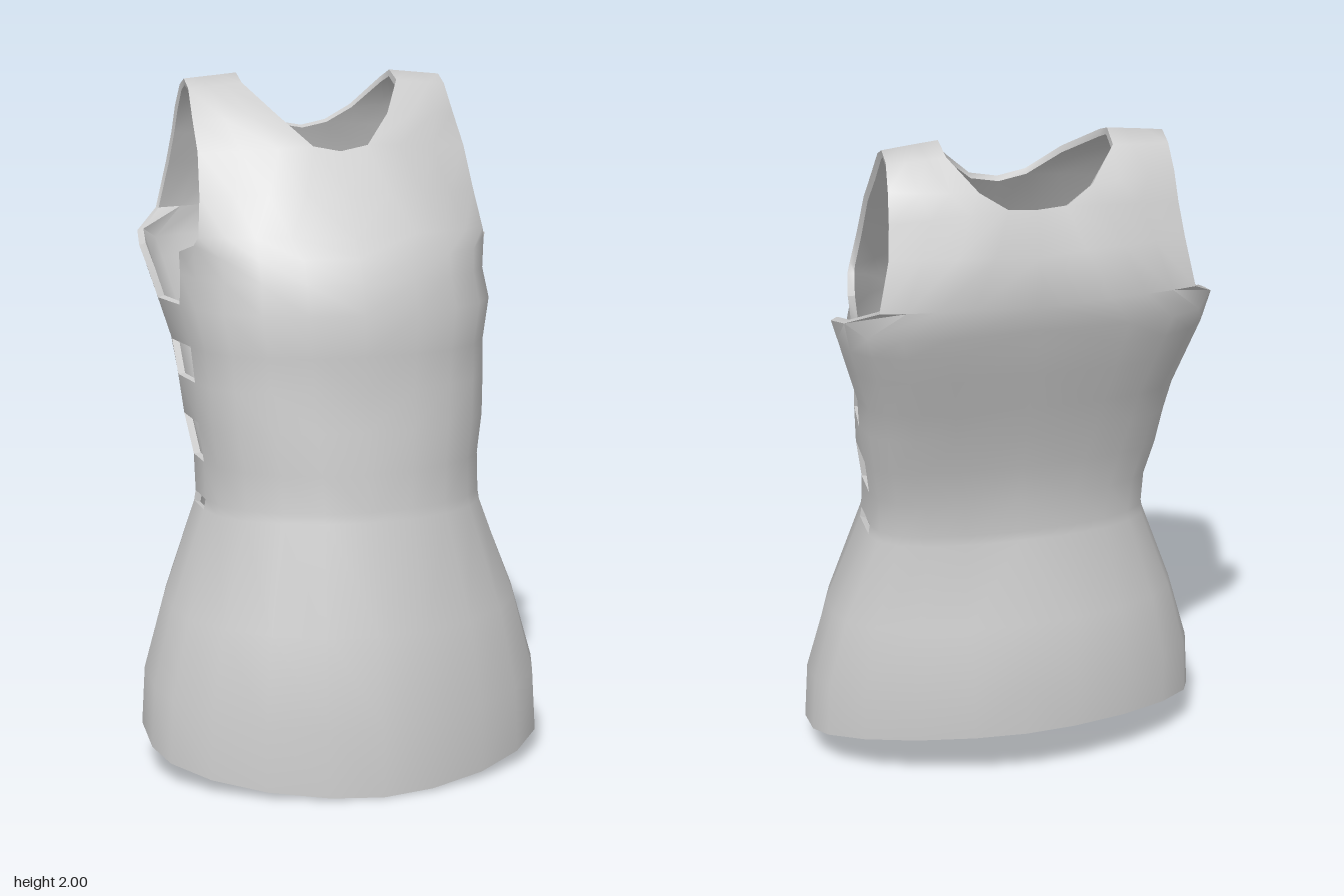
import * as THREE from 'three';
import { mergeVertices, toCreasedNormals } from 'three/addons/utils/BufferGeometryUtils.js';

const THICKNESS = 0.02;
const SIDE = 5;   // column of the front side edge; SIDE + 1 is the back side edge
const ARM = 4;    // columns between the centre line and the armhole edge
const LAST = 11;  // centre back column
const NECK = 14;  // row of the neckline

// Torso rows: y, then centre z, half width and side z for the front and for the back
const torso = [
  [0, 0.485, 0.59, 0.11, -0.325, 0.59, -0.03],
  [0.2, 0.477, 0.58, 0.1, -0.325, 0.58, -0.03],
  [0.45, 0.435, 0.52, 0.08, -0.29, 0.52, -0.03],
  [0.767, 0.347, 0.415, 0.05, -0.225, 0.415, -0.075],
  [0.797, 0.34, 0.41, 0.05, -0.225, 0.41, -0.075],
  [0.905, 0.33, 0.41, 0.035, -0.235, 0.412, -0.085],
  [1.02, 0.315, 0.425, 0.033, -0.265, 0.43, -0.125],
  [1.135, 0.3, 0.43, 0.02, -0.305, 0.445, -0.13],
  [1.235, 0.298, 0.435, -0.01, -0.345, 0.455, -0.165],
  [1.355, 0.295, 0.46, -0.035, -0.4, 0.49, -0.19],
  [1.44, 0.268, 0.45, -0.07, -0.435, 0.515, -0.21],
  [1.505, 0.238, 0.455, -0.06, -0.46, 0.535, -0.23],
];

// Chest and shoulder rows: inner point (centre or neck edge), then armhole point
const chestFront = [
  [0, 1.57, 0.2, 0.425, 1.56, 0.06],
  [0, 1.68, 0.13, 0.41, 1.67, 0.015],
  [0, 1.81, 0.04, 0.4, 1.79, -0.045],
  [0.165, 1.89, -0.04, 0.395, 1.88, -0.13],
  [0.235, 1.975, -0.18, 0.39, 1.96, -0.2],
  [0.235, 2.0, -0.25, 0.39, 1.985, -0.255],
];
const chestBack = [
  [0, 1.6, -0.488, 0.44, 1.59, -0.435],
  [0, 1.73, -0.462, 0.41, 1.73, -0.42],
  [0, 1.85, -0.412, 0.4, 1.82, -0.385],
  [0.155, 1.89, -0.39, 0.395, 1.9, -0.355],
  [0.23, 1.975, -0.325, 0.39, 1.965, -0.31],
  chestFront[5],
];
const ROWS = torso.length + chestFront.length;
// Column spacing of the chest rows, easing from the torso's to the neckline's
const spacing = [0.6, 0.85, 1.15];

// Torso point: a squared quarter oval, k columns from the centre line
function torsoPoint(i, k, front) {
  const r = torso[i], [zc, hw, ze] = front ? r.slice(1, 4) : r.slice(4);
  const a = (k / SIDE) * Math.PI / 2;
  const p = THREE.MathUtils.mapLinear(THREE.MathUtils.clamp(r[0], 0.1, 1.2), 0.1, 1.2, 1.15, front ? 0.9 : 0.65);
  const x = hw * Math.sin(a) ** p;
  let z = k === SIDE ? ze : ze + (zc - ze) * Math.cos(a) ** p;
  // the hem rises to the back, and the slope fades out at the waist
  let y = r[0] + 0.18 * (0.485 - z) / 0.81 * Math.max(0, 1 - r[0] / 0.767);
  // the underarm edge climbs towards the armhole, and the spine is hollow
  if (i === torso.length - 1 && k === ARM) y += 0.03;
  if (!front && k === 0) z += 0.06 * Math.max(0, r[0] - 1.2);
  return new THREE.Vector3(x, y, z);
}

// Chest or strap point between the centre or neck edge and the armhole edge
function chestPoint(i, k, front) {
  const row = i - torso.length;
  const [x0, y0, z0, x1, y1, z1] = (front ? chestFront : chestBack)[row];
  const t = i > NECK ? Math.max(0, (k - 1) / (ARM - 1)) : (k / ARM) ** spacing[row];
  const p = new THREE.Vector3(x0 + (x1 - x0) * t, y0 + (y1 - y0) * t, z0 + (z1 - z0) * t ** 2.5);
  // dip of the neckline and hollow of the spine
  if (k === 0) p.y -= 0.02;
  if (k === 0 && !front) p.z += 0.022;
  return p;
}

// Point of the half shell at row i, column j (0 = centre front, LAST = centre back)
function point(i, j) {
  const front = j <= SIDE, k = front ? j : LAST - j;
  return i < torso.length ? torsoPoint(i, k, front) : chestPoint(i, k, front);
}

// Openings: lacing gaps and armhole at the sides, neckline front and back
function isOpen(i, j) {
  if (j === SIDE) return i === 3 || i === 5 || i === 7 || i >= 9;
  if (j === ARM || j === LAST - SIDE) return i >= torso.length - 1;
  return i >= NECK && (j === 0 || j === LAST - 1);
}

function outerSurface() {
  const pos = [];
  const tri = (s, ...pts) => {
    for (const p of s > 0 ? pts : pts.reverse()) pos.push(s * p.x, p.y, p.z);
  };
  for (const s of [1, -1])
    for (let i = 0; i < ROWS - 1; i++)
      for (let j = 0; j < LAST; j++) {
        if (isOpen(i, j)) continue;
        const a = point(i, j), b = point(i, j + 1), c = point(i + 1, j + 1), d = point(i + 1, j);
        tri(s, a, b, c);
        tri(s, a, c, d);
      }
  const g = new THREE.BufferGeometry();
  g.setAttribute('position', new THREE.Float32BufferAttribute(pos, 3));
  const merged = mergeVertices(g, 1e-4);
  merged.computeVertexNormals();
  return merged;
}

// Thicken a surface: inner copy along the normals, with rims along every open edge
function thicken(surface, depth) {
  const p = surface.attributes.position, n = surface.attributes.normal;
  const count = p.count, src = Array.from(surface.index.array);
  const pos = Array.from(p.array), index = [...src], edges = new Set();
  for (let i = 0; i < count * 3; i++) pos.push(p.array[i] - n.array[i] * depth);
  for (let i = 0; i < src.length; i += 3) {
    const t = src.slice(i, i + 3);
    index.push(t[2] + count, t[1] + count, t[0] + count);
    t.forEach((a, k) => edges.add(a + '_' + t[(k + 1) % 3]));
  }
  for (const e of edges) {
    const [a, b] = e.split('_').map(Number);
    if (edges.has(b + '_' + a)) continue;
    index.push(b, a, a + count, b, a + count, b + count);
  }
  const g = new THREE.BufferGeometry();
  g.setAttribute('position', new THREE.Float32BufferAttribute(pos, 3));
  g.setIndex(index);
  return toCreasedNormals(g, 1.0);
}

export function createModel() {
  const group = new THREE.Group();
  group.name = 'sleevelessTop';
  const material = new THREE.MeshStandardMaterial({ color: 0xcccccc, side: THREE.DoubleSide });
  const shell = new THREE.Mesh(thicken(outerSurface(), THICKNESS), material);
  shell.name = 'garmentShell';
  group.add(shell);
  return group;
}
